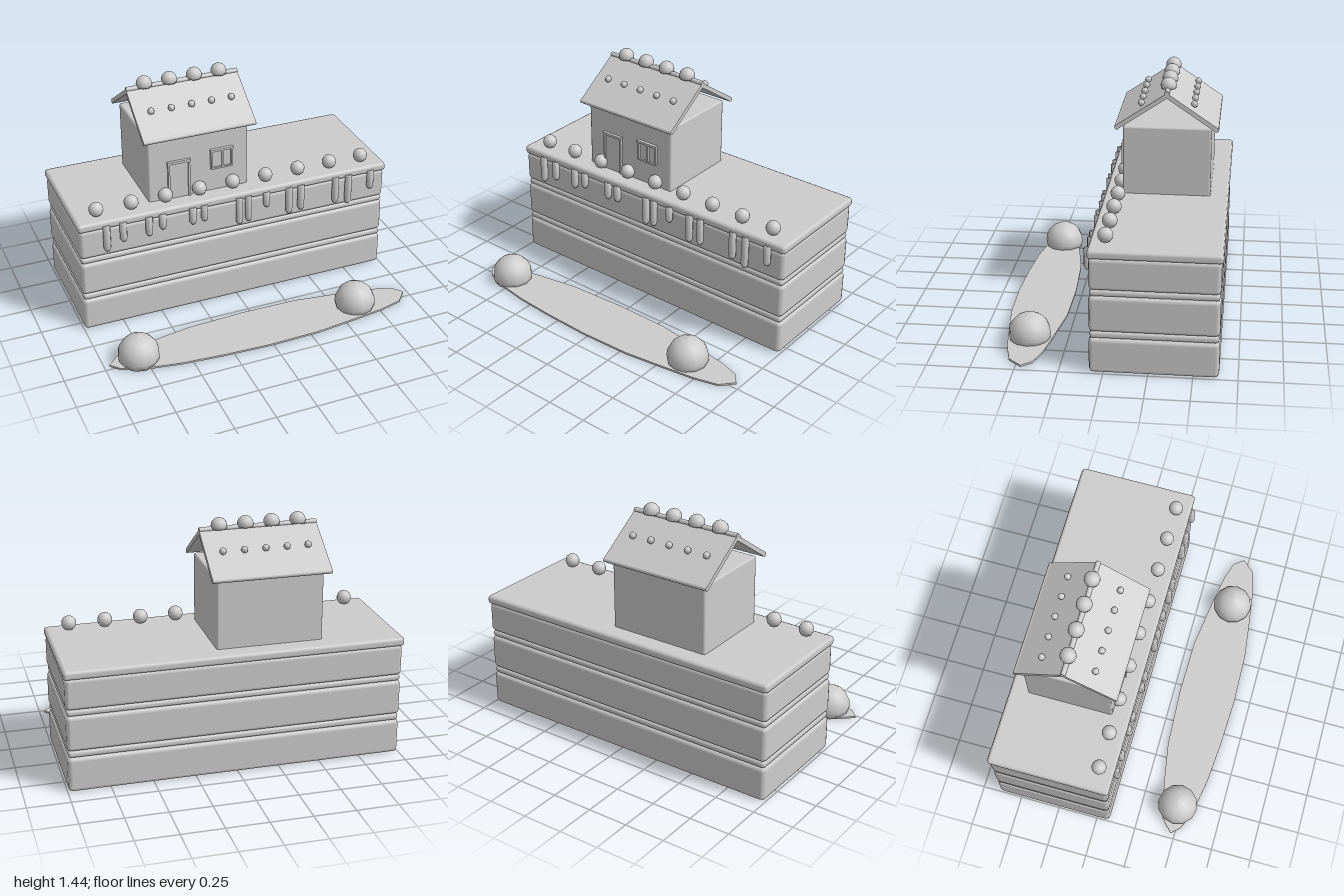
import * as THREE from 'three';
import { RoundedBoxGeometry } from 'three/addons/geometries/RoundedBoxGeometry.js';

export function createModel() {
  const root = new THREE.Group();
  root.name = 'cakeWithCottage';
  const icing = new THREE.MeshStandardMaterial({ name: 'pale grey', color: 0xcccccc });

  const group = (name, parent = root) => {
    const g = new THREE.Group();
    g.name = name;
    parent.add(g);
    return g;
  };
  const add = (name, geo, x, y, z, parent = root) => {
    const m = new THREE.Mesh(geo, icing);
    m.name = name;
    m.position.set(x, y, z);
    parent.add(m);
    return m;
  };
  // Box given by its limits, with a single soft bevel
  const bevelBox = (name, x0, x1, y0, y1, z0, z1, r, parent) => {
    const e = 0.19 * r;
    return add(name, new RoundedBoxGeometry(x1 - x0 + e, y1 - y0 + e, z1 - z0 + e, 1, r),
      (x0 + x1) / 2, (y0 + y1) / 2, (z0 + z1) / 2, parent);
  };
  const plainBox = (name, x0, x1, y0, y1, z0, z1, parent) =>
    add(name, new THREE.BoxGeometry(x1 - x0, y1 - y0, z1 - z0),
      (x0 + x1) / 2, (y0 + y1) / 2, (z0 + z1) / 2, parent);
  // Rounded sweet: a sphere cut flat a little below its middle, origin at its base
  const gumdrop = (r, sides) => {
    const cut = 0.36 * r, end = Math.acos(-0.36), pts = [new THREE.Vector2(0, 0)];
    for (let i = 0; i <= 6; i++) {
      const a = end * (1 - i / 6);
      pts.push(new THREE.Vector2(i === 6 ? 0 : r * Math.sin(a), r * Math.cos(a) + cut));
    }
    return new THREE.LatheGeometry(pts, sides);
  };

  // Cake layers, fillings and icing slab
  const cake = group('cake');
  [[0.003, 0.21], [0.253, 0.464], [0.503, 0.69]].forEach(([a, b]) =>
    bevelBox('cakeLayer', -0.993, 0.993, a, b, -0.642, 0.078, 0.025, cake));
  [[0.212, 0.251], [0.465, 0.502]].forEach(([a, b]) =>
    bevelBox('filling', -0.988, 0.988, a, b, -0.638, 0.074, 0.0185, cake));
  bevelBox('icingSlab', -1, 1, 0.688, 0.738, -0.652, 0.086, 0.02, cake);

  // Icing drips down the front: [x, lowest point]
  const drips = group('icingDrips');
  [[-0.832, 0.54], [-0.73, 0.583], [-0.57, 0.583], [-0.485, 0.61], [-0.295, 0.6],
    [-0.22, 0.605], [0.005, 0.53], [0.065, 0.54], [0.185, 0.61], [0.335, 0.53],
    [0.415, 0.54], [0.65, 0.535], [0.739, 0.51], [0.891, 0.583]].forEach(([x, y]) => {
    const pts = [[0, y], [0.012, y + 0.004], [0.023, y + 0.024], [0.023, 0.71], [0, 0.71]]
      .map(p => new THREE.Vector2(...p));
    add('drip', new THREE.LatheGeometry(pts, 8), x, 0, 0.092, drips);
  });

  // Row of round sweets along the front edge
  const sweets = group('edgeSweets');
  const ball = new THREE.SphereGeometry(0.044, 16, 12);
  for (let i = -4; i <= 4; i++) add('edgeSweet', ball, i * 0.2156, 0.78, -0.003, sweets);

  // Cottage walls
  const house = group('cottage');
  bevelBox('walls', -0.527, 0.104, 0.73, 1.157, -0.543, -0.022, 0.012, house);

  // Door with jambs and lintel
  const door = group('door', house);
  plainBox('doorPanel', -0.4, -0.28, 0.735, 0.976, -0.025, -0.014, door);
  for (const x of [-0.403, -0.276]) plainBox('doorJamb', x - 0.006, x + 0.006, 0.735, 0.976, -0.025, -0.005, door);
  plainBox('lintel', -0.412, -0.267, 0.974, 0.99, -0.025, -0.003, door);

  // Window with frame and centre bars
  const win = group('window', house);
  plainBox('windowPane', -0.134, -0.002, 0.895, 1.01, -0.025, -0.014, win);
  for (const x of [-0.132, -0.062, -0.003]) plainBox('windowPost', x - 0.005, x + 0.005, 0.892, 1.01, -0.025, -0.003, win);
  plainBox('windowHead', -0.14, 0.006, 1.005, 1.019, -0.025, -0.001, win);
  plainBox('windowSill', -0.137, 0.003, 0.888, 0.898, -0.025, -0.003, win);

  // Gable roof: two panels, edge rods and small studs
  const roof = group('roof', house);
  const cx = -0.2115, width = 0.703, ridgeZ = -0.28, run = 0.292, drop = 0.198;
  const rod = new THREE.CylinderGeometry(0.015, 0.015, width, 10).rotateZ(Math.PI / 2);
  const stud = new THREE.SphereGeometry(0.021, 8, 6);
  for (const s of [1, -1]) {
    const panel = add('roofPanel', new THREE.BoxGeometry(width, 0.026, Math.hypot(run, drop) + 0.012),
      cx, 1.361 - drop / 2, ridgeZ + s * run / 2, roof);
    panel.rotation.x = s * Math.atan2(drop, run);
    add('eaveRod', rod, cx, 1.163, ridgeZ + s * run, roof);
    for (let i = -2; i <= 2; i++) add('roofStud', stud, cx + i * 0.126, 1.288, ridgeZ + s * 0.157, roof);
  }
  add('ridgeRod', rod, cx, 1.374, ridgeZ, roof);
  const ridgeDrop = gumdrop(0.0475, 16);
  for (let i = 0; i < 4; i++) add('ridgeGumdrop', ridgeDrop, -0.449 + i * 0.157, 1.376, ridgeZ - 0.002, roof);

  // Thin irregular puddle of icing on the ground: outline in x, z
  const outline = [[-0.97, 0.475], [-0.89, 0.4], [-0.665, 0.35], [-0.415, 0.308], [-0.05, 0.29],
    [0.3, 0.295], [0.645, 0.343], [0.805, 0.37], [0.92, 0.407], [0.97, 0.468], [0.9, 0.546],
    [0.75, 0.584], [0.51, 0.616], [0.3, 0.642], [-0.02, 0.65], [-0.32, 0.637], [-0.575, 0.616],
    [-0.8, 0.578], [-0.92, 0.53]];
  const shape = new THREE.Shape(outline.map(([x, z]) => new THREE.Vector2(x, -z)));
  const puddle = new THREE.ExtrudeGeometry(shape, { depth: 0.012, bevelEnabled: false }).rotateX(-Math.PI / 2);
  add('icingPuddle', puddle, 0, 0.002, 0);

  // Large gumdrops on the puddle
  const bigDrop = gumdrop(0.125, 12);
  for (const x of [-0.788, 0.624]) add('groundGumdrop', bigDrop, x, 0, 0.472);

  return root;
}
